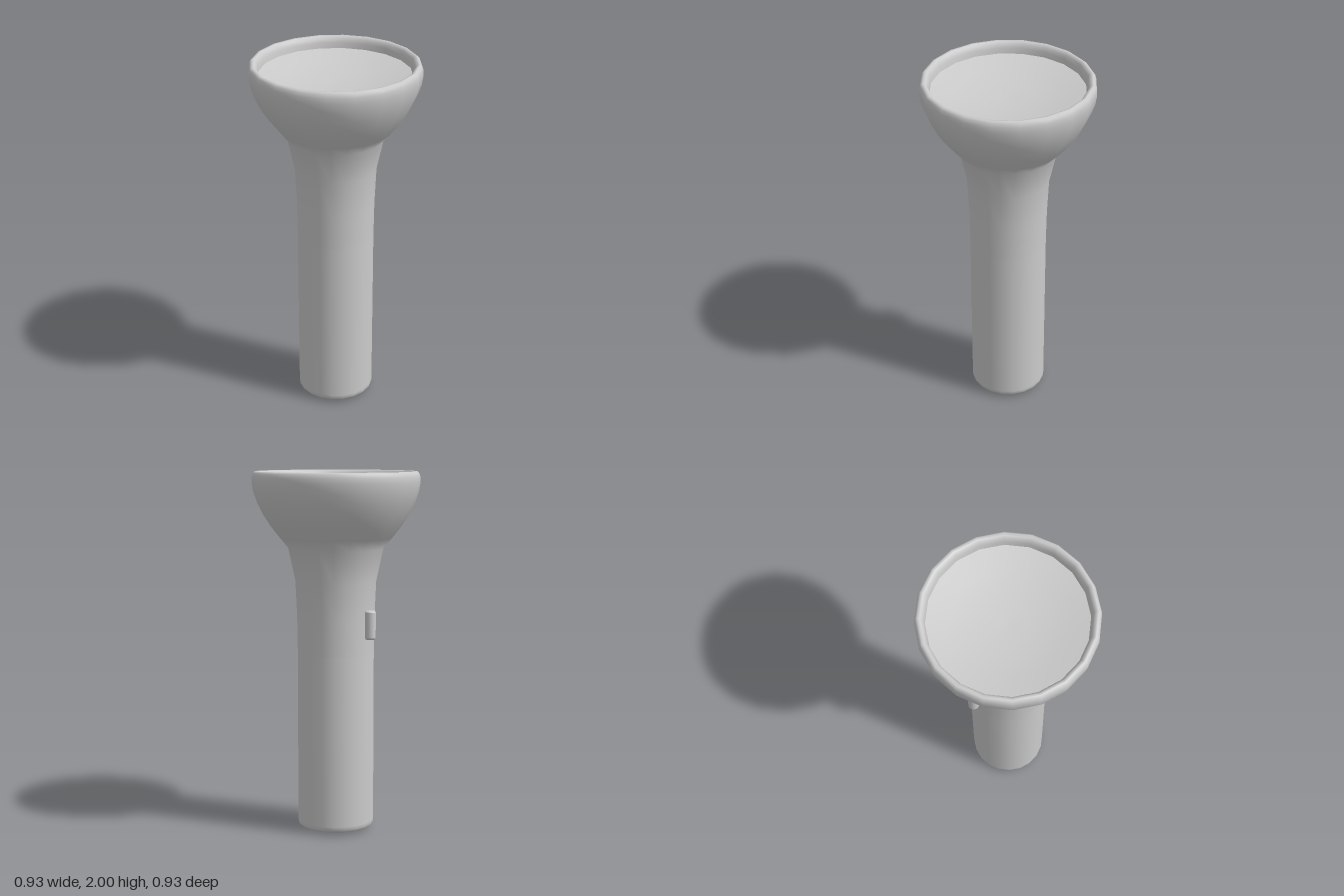
import * as THREE from 'three';

const SIDES = 20;

export function createModel() {
  const model = new THREE.Group();
  const material = new THREE.MeshStandardMaterial({ color: 0xcccccc });

  function add(name, geometry) {
    const mesh = new THREE.Mesh(geometry, material);
    mesh.name = name;
    model.add(mesh);
    return mesh;
  }

  // Profiles run from bottom to top as [radius, height]
  function lathe(name, profile, sides = SIDES) {
    const points = profile.map(([r, y]) => new THREE.Vector2(r, y));
    return add(name, new THREE.LatheGeometry(points, sides));
  }

  // Straight grip, rounding smoothly into a shallow domed end
  lathe('handle', [
    [0, 0], [0.1, 0.004], [0.17, 0.01], [0.2, 0.018], [0.211, 0.03],
    [0.212, 0.05], [0.212, 0.5], [0.212, 1.0],
  ]);

  // Neck flaring into the bowl, rolled over the rim and down to the lens
  lathe('head', [
    [0.212, 1.0], [0.215, 1.2], [0.224, 1.4], [0.263, 1.58],
    [0.31, 1.636], [0.36, 1.7], [0.402, 1.765], [0.434, 1.83], [0.455, 1.89],
    [0.463, 1.94], [0.462, 1.97], [0.456, 1.99], [0.445, 2.0],
    [0.432, 1.998], [0.421, 1.985], [0.414, 1.965], [0.41, 1.933],
  ]);

  // Recessed, shallowly dished lens
  lathe('lens', [[0.41, 1.935], [0.3, 1.911], [0.2, 1.896], [0.1, 1.888], [0, 1.885]]);

  // Small upright switch on the side of the grip
  const button = lathe('switchButton', [
    [0, 1.092], [0.024, 1.092], [0.03, 1.1], [0.03, 1.105],
    [0.03, 1.24], [0.03, 1.243], [0.024, 1.25], [0, 1.25],
  ], 16);
  button.position.x = -0.241;

  return model;
}
